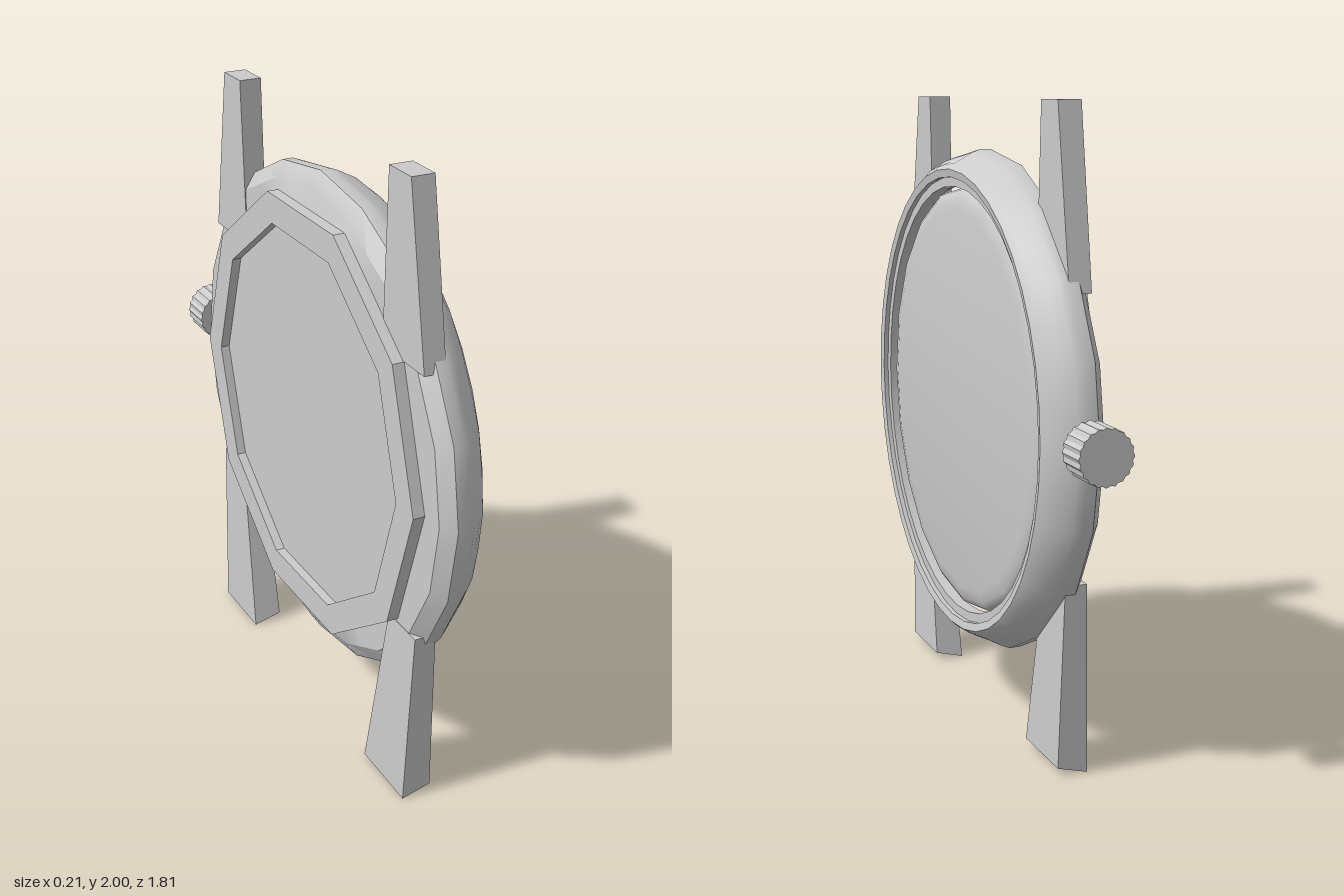
import * as THREE from 'three';
import { toCreasedNormals } from 'three/addons/utils/BufferGeometryUtils.js';

const CENTER_Y = 1.035, CENTER_Z = 0.06;
const grey = () => new THREE.MeshStandardMaterial({ color: 0xcccccc });

// Lathe of [radius, x] points, turned so that its axis runs along +x.
// An optional rule reshapes each vertex before normals are made.
function discGeometry(points, sides, crease, rule) {
  const geo = new THREE.LatheGeometry(points.map(([r, h]) => new THREE.Vector2(r, h)), sides);
  geo.rotateZ(-Math.PI / 2);
  if (rule) {
    const p = geo.attributes.position;
    for (let i = 0; i < p.count; i++) rule(p, i, Math.floor(i / points.length));
  }
  geo.deleteAttribute('normal');
  geo.deleteAttribute('uv');
  return toCreasedNormals(geo, crease);
}

function addMesh(group, name, geo, material = grey()) {
  const mesh = new THREE.Mesh(geo, material);
  mesh.name = name;
  group.add(mesh);
  return mesh;
}

// Tapered bar between two sections: { back: y, front: y, z: [inner, outer], x: [back, front] }
function lugGeometry(low, high) {
  const geo = new THREE.BoxGeometry(1, 1, 1);
  const p = geo.attributes.position;
  for (let i = 0; i < p.count; i++) {
    const s = p.getY(i) < 0 ? low : high;
    const front = p.getX(i) > 0 ? 1 : 0;
    const outer = p.getZ(i) > 0 ? 1 : 0;
    p.setXYZ(i, s.x[front], front ? s.front : s.back, s.z[outer]);
  }
  geo.computeVertexNormals();
  return geo;
}

// Same bar on the other side of the case, with its winding restored
function mirrorZ(geo) {
  const copy = geo.clone().scale(1, 1, -1);
  const idx = copy.index.array;
  for (let i = 0; i < idx.length; i += 3) [idx[i + 1], idx[i + 2]] = [idx[i + 2], idx[i + 1]];
  copy.computeVertexNormals();
  return copy;
}

export function createModel() {
  const model = new THREE.Group();
  model.name = 'watchCase';

  const round = new THREE.Group();
  round.name = 'roundCase';
  round.position.set(0, CENTER_Y, CENTER_Z);
  model.add(round);

  // Case body: round opening in front, 20-sided and slightly oval at the rim
  const caseProfile = [
    [0, -0.07], [0.8, -0.07], [0.845, -0.035], [0.845, 0.0], [0.835, 0.025], [0.81, 0.055],
    [0.78, 0.085], [0.745, 0.105], [0.72, 0.1], [0.72, 0.085], [0.69, 0.085], [0.69, 0.045],
  ];
  addMesh(round, 'caseAndBezel', discGeometry(caseProfile, 40, 0.6, (p, i, column) => {
    const r = Math.hypot(p.getY(i), p.getZ(i));
    const back = p.getX(i) < -0.05;
    const t = back ? 1 : THREE.MathUtils.clamp((r - 0.745) / 0.08, 0, 1);
    const flat = column % 2 ? 1 - t * (1 - Math.cos(Math.PI / 20)) : 1;
    const oval = 1 - t * (back ? 0.06 : 0.047);
    p.setY(i, p.getY(i) * flat * oval);
    p.setZ(i, p.getZ(i) * flat);
  }));

  // Dial glass with a softly rounded edge
  const glassProfile = [[0.688, 0.045], [0.68, 0.06], [0.66, 0.072], [0.62, 0.08], [0, 0.082]];
  addMesh(round, 'dialGlass', discGeometry(glassProfile, 20, 1));

  // Ten-sided back cover with a recessed centre
  const coverProfile = [[0, -0.078], [0.62, -0.078], [0.62, -0.108], [0.72, -0.108], [0.72, -0.06]];
  addMesh(round, 'backCover', discGeometry(coverProfile, 10, 0.3));

  // Ribbed winding crown
  const crownGeo = new THREE.CylinderGeometry(0.085, 0.085, 0.112, 40);
  const cp = crownGeo.attributes.position;
  for (let i = 0; i < cp.count; i++) {
    const step = Math.round(Math.atan2(cp.getX(i), cp.getZ(i)) / (Math.PI / 20));
    const k = step % 2 ? 0.94 : 1;
    cp.setX(i, cp.getX(i) * k);
    cp.setZ(i, cp.getZ(i) * k);
  }
  crownGeo.rotateX(Math.PI / 2);
  const crownMaterial = grey();
  crownMaterial.flatShading = true;
  addMesh(model, 'crown', crownGeo, crownMaterial).position.set(0, 1.045, -0.847);

  // Strap lugs: upper and lower, mirrored about the case centre
  const upper = lugGeometry(
    { back: 1.46, front: 1.46, z: [0.46, 0.697], x: [-0.072, -0.002] },
    { back: 2, front: 2, z: [0.485, 0.605], x: [-0.075, -0.002] });
  const lower = lugGeometry(
    { back: 0, front: 0.025, z: [0.42, 0.67], x: [-0.088, 0.008] },
    { back: 0.6, front: 0.6, z: [0.53, 0.69], x: [-0.072, -0.002] });
  for (const [name, geo] of [['upperLug', upper], ['lowerLug', lower]]) {
    addMesh(model, name + 'Near', geo).position.z = CENTER_Z;
    addMesh(model, name + 'Far', mirrorZ(geo)).position.z = CENTER_Z;
  }

  return model;
}
